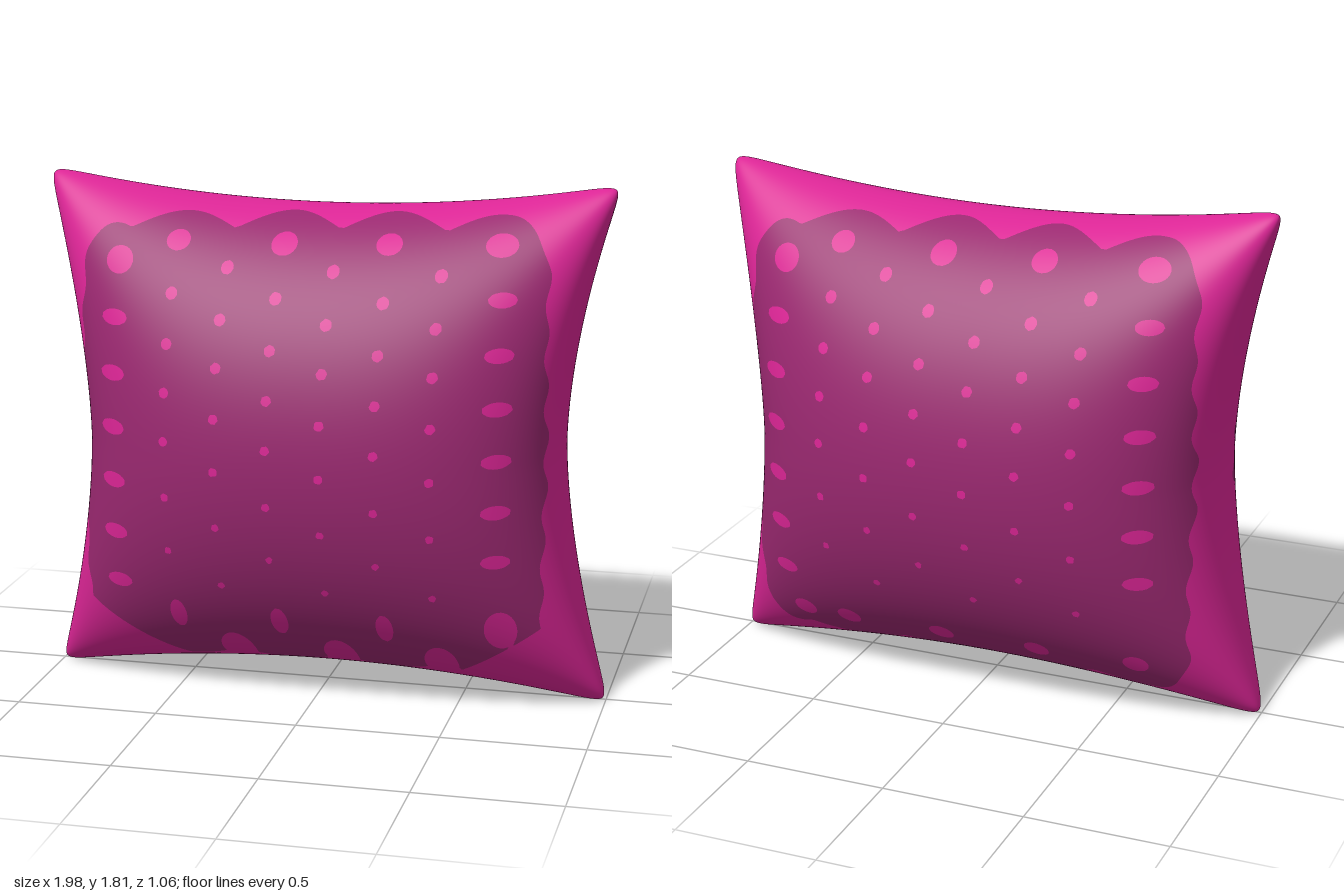
import * as THREE from 'three';
import { mergeVertices } from 'three/addons/utils/BufferGeometryUtils.js';

const N = 170; // grid cells across each face
const CENTRE_Y = 0.908;

// Puffed square with concave sides and rounded corner tips; u, v run -1..1
function cushionPoint(u, v) {
  const a = Math.abs(u), b = Math.abs(v);
  const tip = 1 - 0.022 * Math.pow(a * b, 30);
  const x = u * (0.83 + 0.18 * Math.pow(b, 1.7)) * tip;
  const y = CENTRE_Y + v * (0.822 + 0.095 * a * a) * tip;
  const z = 0.53 * Math.pow(Math.max(0, 1 - Math.pow(a, 2.5)), 0.35)
                 * Math.pow(Math.max(0, 1 - b * b), 0.6);
  return new THREE.Vector3(x, y, z);
}

// Spots as [x, y, radius x, radius y]
function makeSpots(isFront) {
  const spots = [
    [-0.67, 1.55, 0.05, 0.045], [-0.47, 1.62, 0.042, 0.032], [-0.1, 1.62, 0.045, 0.035],
    [0.26, 1.63, 0.045, 0.032], [0.64, 1.64, 0.055, 0.036],
  ];
  // side columns
  for (let i = 0; i < 6; i++) {
    spots.push([-0.67, 1.365 - 0.187 * i, 0.05, 0.027]);
    spots.push([0.66, 1.475 - 0.176 * i, 0.048, 0.025]);
  }
  // staggered small dots, shrinking downwards
  for (let c = 0; c < 6; c++) {
    const rows = c % 2 ? [1.545, 1.385, 1.232, 1.065, 0.885, 0.685, 0.46]
                       : [1.458, 1.297, 1.137, 0.972, 0.775, 0.578];
    for (const y of rows) {
      const r = 0.014 + 0.008 * Math.max(0, (y - 0.6) / 0.95);
      spots.push([-0.463 + 0.183 * c, y, r, r]);
    }
  }
  // bottom row
  if (isFront) {
    for (const x of [-0.46, -0.095, 0.275]) spots.push([x, 0.32, 0.03, 0.06]);
    for (const x of [-0.28, 0.09, 0.45]) spots.push([x, 0.16, 0.06, 0.085]);
    spots.push([0.67, 0.33, 0.055, 0.075]);
  } else {
    for (const x of [-0.64, -0.46, -0.1, 0.26, 0.62]) spots.push([x, 0.24, 0.045, 0.038]);
  }
  return spots;
}

// Positive inside the dark scalloped panel, negative in the border and spots
function panelField(x, y, spots, isFront) {
  const v = (y - CENTRE_Y) / 0.83;
  const wave = Math.abs(Math.cos(Math.PI * (x + 0.1) / 0.365));
  const ripple = 0.007 * Math.cos(2 * Math.PI * (y - 1.0) / 0.18);
  const left = x + 0.822 - 0.035 * v * v + ripple;
  const right = 0.802 - x + ripple;
  const top = 1.665 + 0.05 * wave + 0.02 * x - y;
  const bottom = y - 0.155 + 0.05 * wave;
  // rounded corners
  const r = 0.14;
  const dx = Math.min(left, right), dy = Math.min(top, bottom);
  let f = dx < r && dy < r ? r - Math.hypot(r - dx, r - dy) : Math.min(dx, dy);
  if (isFront) f = Math.min(f, (y - 0.33 + 0.7 * (0.8 - Math.abs(x))) * 0.82);
  for (const [sx, sy, rx, ry] of spots) {
    f = Math.min(f, (Math.hypot((x - sx) / rx, (y - sy) / ry) - 1) * Math.min(rx, ry));
  }
  return f;
}

// Sends a triangle to the border or panel list, cutting it along the panel's edge
function cutTriangle(tri, border, panel) {
  const inside = tri.filter((p) => p.f > 0).length;
  if (inside === 3) return panel.push(...tri);
  if (inside === 0) return border.push(...tri);
  const loneIn = inside === 1;
  const k = tri.findIndex((p) => (p.f > 0) === loneIn);
  const [a, b, c] = [tri[k], tri[(k + 1) % 3], tri[(k + 2) % 3]];
  const cross = (p, q) => {
    const [hi, lo] = p.f > 0 ? [p, q] : [q, p];
    return { p: hi.p.clone().lerp(lo.p, hi.f / (hi.f - lo.f)) };
  };
  const ab = cross(a, b), ac = cross(a, c);
  (loneIn ? panel : border).push(a, ab, ac);
  (loneIn ? border : panel).push(ab, b, c, ab, c, ac);
}

// One half of the cushion; the back is the front turned half round
function addHalf(side, border, panel) {
  const isFront = side > 0;
  const spots = makeSpots(isFront);
  const grid = [];
  const step = (i) => (i === 0 ? -1 : i === N ? 1 : Math.sin((i / N - 0.5) * Math.PI));
  for (let j = 0; j <= N; j++) {
    for (let i = 0; i <= N; i++) {
      const p = cushionPoint(step(i), step(j));
      const f = panelField(p.x, p.y, spots, isFront);
      p.x *= side;
      p.z *= side;
      grid.push({ p, f });
    }
  }
  for (let j = 0; j < N; j++) {
    for (let i = 0; i < N; i++) {
      const k = j * (N + 1) + i;
      const [a, b, c, d] = [grid[k], grid[k + 1], grid[k + N + 2], grid[k + N + 1]];
      cutTriangle([a, b, c], border, panel);
      cutTriangle([a, c, d], border, panel);
    }
  }
}

export function createModel() {
  const pink = new THREE.MeshStandardMaterial({ color: 0xdb2595 });
  pink.name = 'bright pink';
  const plum = new THREE.MeshStandardMaterial({ color: 0x9a2870 });
  plum.name = 'plum';

  const border = [], panel = [];
  addHalf(1, border, panel);
  addHalf(-1, border, panel);

  // Both colours share one smooth surface
  const positions = new Float32Array((border.length + panel.length) * 3);
  [...border, ...panel].forEach((q, i) => q.p.toArray(positions, i * 3));
  let geometry = new THREE.BufferGeometry();
  geometry.setAttribute('position', new THREE.BufferAttribute(positions, 3));
  geometry = mergeVertices(geometry, 1e-5);
  geometry.clearGroups();
  geometry.addGroup(0, border.length, 0);
  geometry.addGroup(border.length, panel.length, 1);
  geometry.computeVertexNormals();

  const cushion = new THREE.Mesh(geometry, [pink, plum]);
  cushion.name = 'cushion';
  const model = new THREE.Group();
  model.name = 'throwCushion';
  model.add(cushion);
  return model;
}
